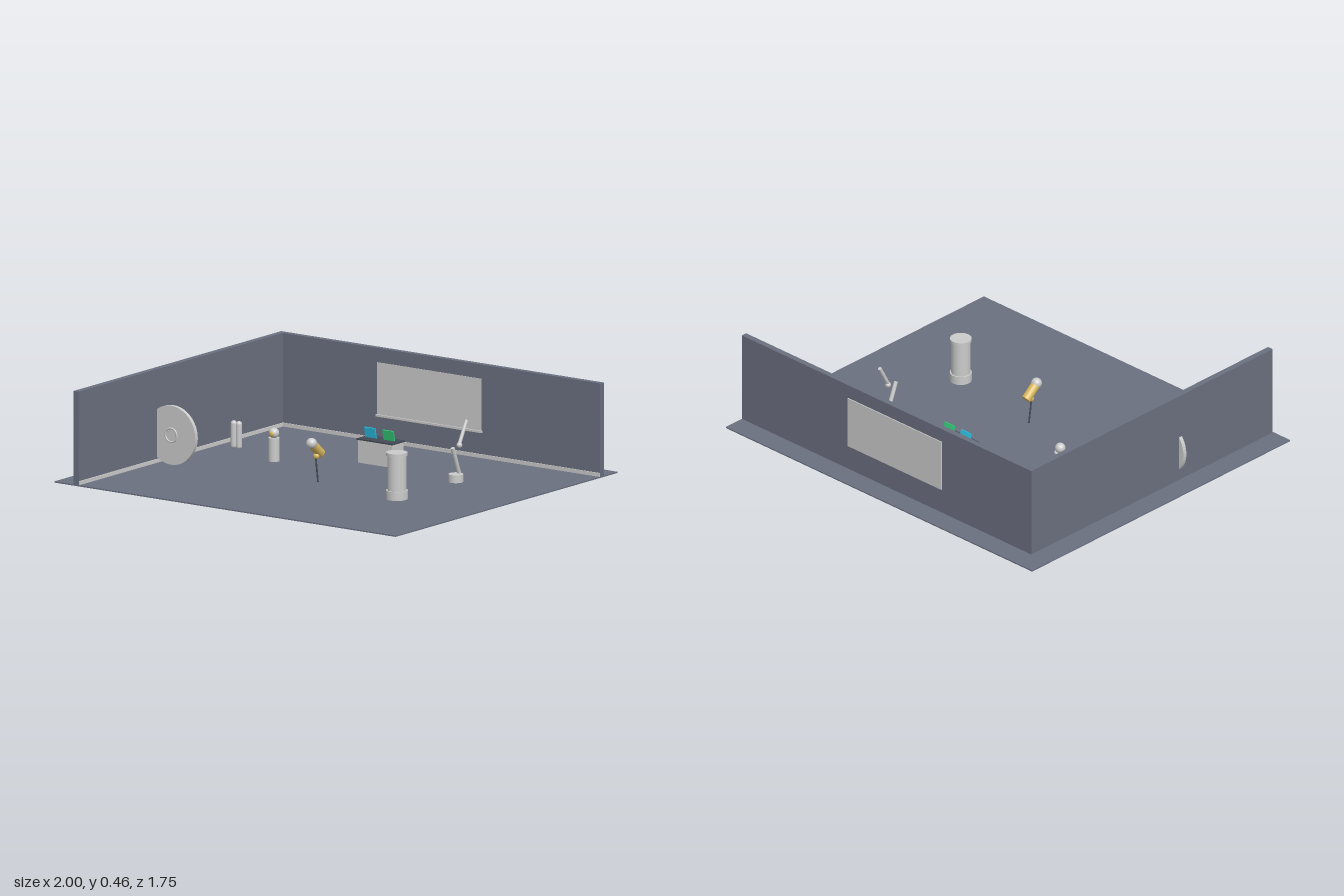
import * as THREE from 'three';

const mat = (color) => new THREE.MeshStandardMaterial({ color });
const grey = mat(0xcccccc);
const slate = mat(0x6b7080);
const dark = mat(0x454a55);
const gold = mat(0xd9b860);
const cyan = mat(0x2cc4e8);
const green = mat(0x35d07a);

export function createModel() {
  const room = new THREE.Group();
  room.name = 'room';

  const add = (name, geometry, material, x, y, z, parent = room) => {
    const mesh = new THREE.Mesh(geometry, material);
    mesh.name = name;
    mesh.position.set(x, y, z);
    parent.add(mesh);
    return mesh;
  };
  // box given by its limits on each axis
  const span = (name, material, x0, x1, y0, y1, z0, z1) =>
    add(name, new THREE.BoxGeometry(x1 - x0, y1 - y0, z1 - z0), material,
      (x0 + x1) / 2, (y0 + y1) / 2, (z0 + z1) / 2);
  const post = (name, material, r, x, y0, y1, z) =>
    add(name, new THREE.CylinderGeometry(r, r, y1 - y0, 32), material, x, (y0 + y1) / 2, z);
  const ball = (name, material, r, x, y, z) =>
    add(name, new THREE.SphereGeometry(r, 24, 16), material, x, y, z);
  // cylinder between two points in the plane of constant x
  const rod = (name, material, r, x, y0, z0, y1, z1) => {
    const a = new THREE.Vector3(x, y0, z0);
    const b = new THREE.Vector3(x, y1, z1);
    const dir = b.clone().sub(a);
    const mesh = add(name, new THREE.CylinderGeometry(r, r, dir.length(), 24), material,
      x, (y0 + y1) / 2, (z0 + z1) / 2);
    mesh.quaternion.setFromUnitVectors(new THREE.Vector3(0, 1, 0), dir.normalize());
    return mesh;
  };

  // floor and walls, the back wall split around the window
  const floor = 0.006, top = 0.455;
  span('floor', slate, -1, 1, 0, floor, -0.875, 0.875);
  span('sideWall', slate, -0.89, -0.86, floor, top, -0.766, 0.87);
  span('backWallLeftPart', slate, -0.86, -0.3, floor, top, -0.766, -0.737);
  span('backWallRightPart', slate, 0.3, 1, floor, top, -0.766, -0.737);
  span('wallBelowWindow', slate, -0.3, 0.3, floor, 0.13, -0.766, -0.737);
  span('wallAboveWindow', slate, -0.3, 0.3, 0.385, top, -0.766, -0.737);
  span('windowPane', grey, -0.306, 0.306, 0.13, 0.387, -0.771, -0.735);
  span('windowSill', grey, -0.31, 0.31, 0.127, 0.137, -0.745, -0.727);
  span('backBaseboard', grey, -0.86, 1, floor, 0.024, -0.737, -0.732);
  span('sideBaseboard', grey, -0.86, -0.855, floor, 0.024, -0.732, 0.87);

  // large disc cutting through the side wall, with a hub ring
  const disc = add('disc', new THREE.CylinderGeometry(0.142, 0.142, 0.02, 64), grey, -0.777, 0.148, 0.245);
  disc.rotation.x = Math.PI / 2;
  for (const z of [0.236, 0.254])
    add('hubRing', new THREE.TorusGeometry(0.033, 0.005, 10, 32), grey, -0.777, 0.148, z);

  // pair of slim rounded bottles
  for (const x of [-0.74, -0.71])
    add('bottle', new THREE.CapsuleGeometry(0.015, 0.105, 8, 20), grey, x, 0.079, -0.19);

  // small robot with a tinted face
  post('robotBody', grey, 0.027, -0.44, floor, 0.118, -0.103);
  ball('robotHead', grey, 0.025, -0.44, 0.14, -0.103);
  ball('robotFace', gold, 0.019, -0.44, 0.139, -0.095);

  // console desk with two screens
  span('deskBody', grey, -0.1, 0.1, floor, 0.116, -0.397, -0.308);
  span('deskTop', dark, -0.105, 0.105, 0.116, 0.123, -0.402, -0.303);
  for (const [x, material] of [[-0.055, cyan], [0.052, green]]) {
    const screen = add('screen', new THREE.BoxGeometry(0.064, 0.05, 0.006), material, x, 0.15, -0.345);
    screen.rotation.x = 0.2;
  }

  // telescope on a thin stand
  rod('telescopeTube', gold, 0.023, 0, 0.14, 0.122, 0.2, 0.195);
  ball('telescopeLens', grey, 0.026, 0, 0.2, 0.193);
  ball('telescopeJoint', gold, 0.015, 0, 0.132, 0.155);
  rod('telescopeStand', dark, 0.004, 0, 0.132, 0.16, floor, 0.142);

  // round tank with a wider base and cap
  post('tankBase', grey, 0.052, 0.52, floor, 0.048, 0.22);
  post('tankBody', grey, 0.045, 0.52, 0.048, 0.215, 0.22);
  post('tankCap', grey, 0.051, 0.52, 0.215, 0.23, 0.22);

  // jointed mechanical arm
  post('armBase', grey, 0.035, 0.52, floor, 0.044, -0.245);
  rod('lowerArm', grey, 0.01, 0.52, 0.044, -0.27, 0.172, -0.22);
  ball('elbow', grey, 0.014, 0.52, 0.177, -0.273);
  rod('upperArm', grey, 0.009, 0.52, 0.183, -0.273, 0.288, -0.33);

  return room;
}
